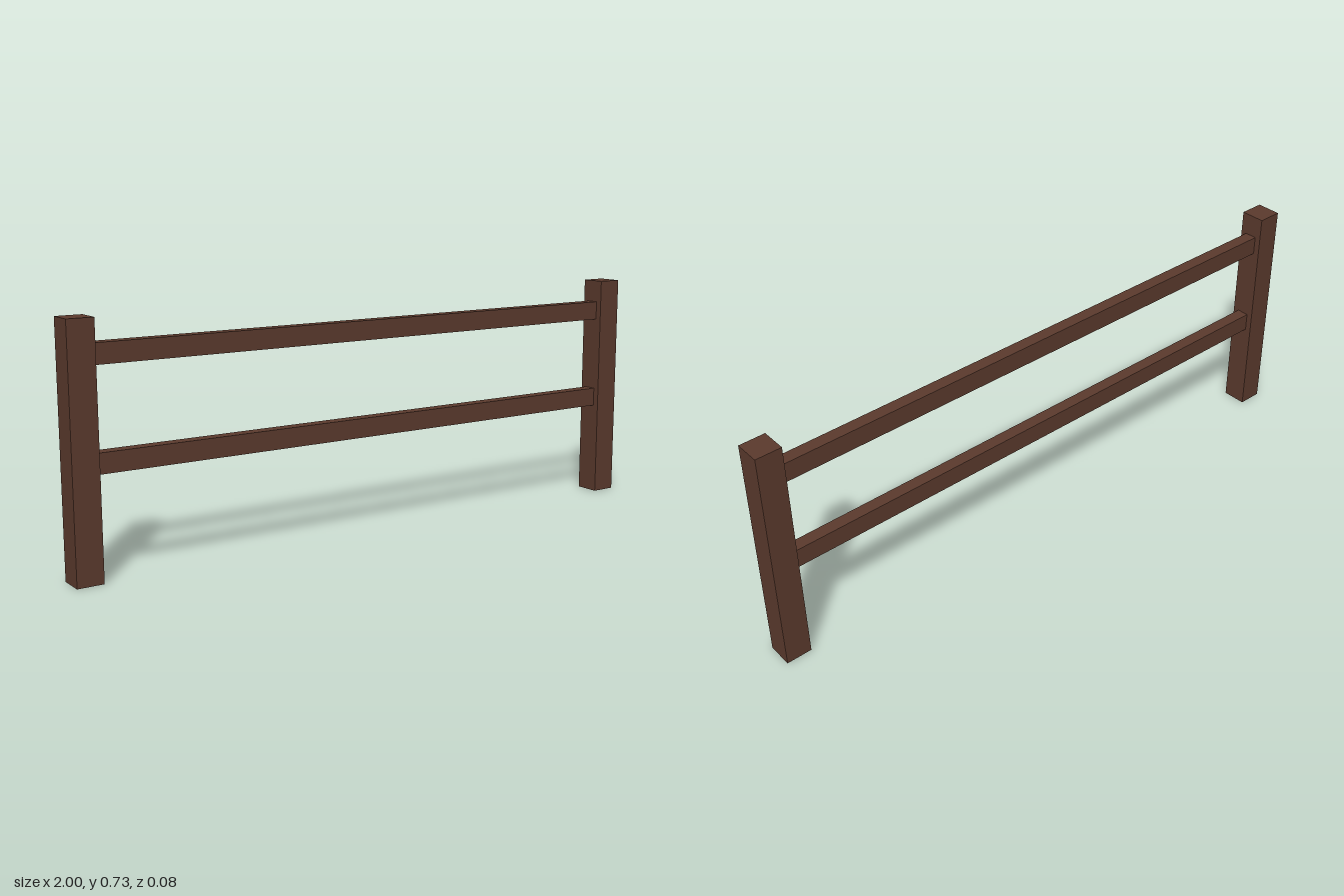
import * as THREE from 'three';

export function createModel() {
  const wood = new THREE.MeshStandardMaterial({ color: 0x5c3b2e });
  wood.name = 'darkBrownWood';
  const fence = new THREE.Group();
  fence.name = 'fence';

  const POST = 0.08, HEIGHT = 0.733;

  function beam(name, w, h, d, x, y) {
    const mesh = new THREE.Mesh(new THREE.BoxGeometry(w, h, d), wood);
    mesh.name = name;
    mesh.position.set(x, y, 0);
    fence.add(mesh);
  }

  // Square posts at both ends
  for (const [name, side] of [['leftPost', 1], ['rightPost', -1]])
    beam(name, POST, HEIGHT, POST, side * (1 - POST / 2), HEIGHT / 2);

  // Two slim rails, butted against the posts
  for (const [name, y] of [['lowerRail', 0.332], ['upperRail', 0.632]])
    beam(name, 2 - 2 * POST, 0.06, 0.04, 0, y);

  return fence;
}
